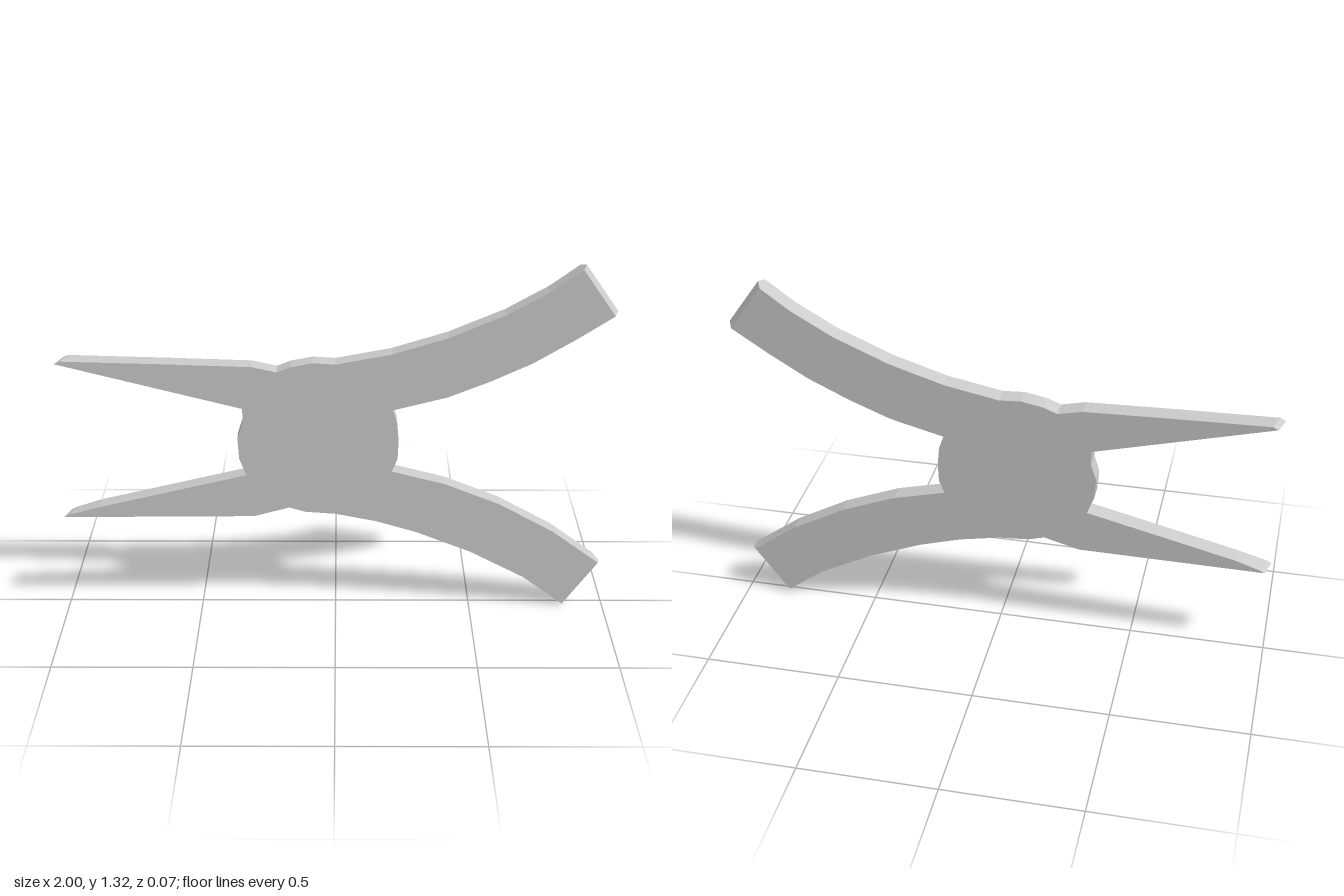
import * as THREE from 'three';

const HALF = 0.035; // half the plate thickness

// Extrudes an outline into a flat plate centred on z = 0, with a mid ring;
// pull(x, z) gives the [dx, dy] shift of tip vertices for bevelled ends.
function plate(name, points, material, pull) {
  const shape = new THREE.Shape(points.map(([x, y]) => new THREE.Vector2(x, y)));
  const geo = new THREE.ExtrudeGeometry(shape, { depth: HALF * 2, steps: 2, bevelEnabled: false });
  geo.translate(0, 0, -HALF);
  if (pull) {
    const p = geo.attributes.position;
    for (let i = 0; i < p.count; i++) {
      const [dx, dy] = pull(p.getX(i), p.getZ(i));
      p.setXY(i, p.getX(i) + dx, p.getY(i) + dy);
    }
    geo.computeVertexNormals();
  }
  const mesh = new THREE.Mesh(geo, material);
  mesh.name = name;
  return mesh;
}

// Handle ends come to a ridge at mid thickness
const handleEnd = (dirX, dirY, front, back) => (x, z) => {
  if (x < 0.853 || Math.abs(z) < 0.01) return [0, 0];
  const d = z > 0 ? front : back;
  return [-dirX * d, -dirY * d];
};

// Jaw tips slant back towards the rear face
const jawTip = (x, z) => (x < -0.95 ? [0.02 * (HALF - z) / (2 * HALF), 0] : [0, 0]);

export function createModel() {
  const group = new THREE.Group();
  group.name = 'pliers';
  const material = new THREE.MeshStandardMaterial({ color: 0xcccccc, flatShading: true });

  // Central pivot plate
  group.add(plate('pivotBody', [
    [-0.335, 0.795], [-0.335, 0.74], [-0.355, 0.68], [-0.35, 0.6], [-0.325, 0.535],
    [-0.17, 0.405], [-0.11, 0.388], [0, 0.38],
    [0.205, 0.55], [0.225, 0.6], [0.228, 0.67], [0.222, 0.74], [0.205, 0.79],
    [0, 0.965], [-0.08, 0.97], [-0.16, 0.955], [-0.21, 0.935],
  ], material));

  // Tapered jaws
  group.add(plate('upperJaw', [
    [-0.335, 0.795], [-0.21, 0.935], [-0.3, 0.955], [-0.6, 0.965], [-0.98, 0.975], [-1, 0.965],
  ], material, jawTip));
  group.add(plate('lowerJaw', [
    [-0.17, 0.405], [-0.325, 0.535], [-0.87, 0.405], [-0.98, 0.375], [-1, 0.365], [-0.3, 0.37],
  ], material, jawTip));

  // Curved handles
  group.add(plate('upperHandle', [
    [0.205, 0.79], [0.4, 0.84], [0.55, 0.9], [0.7, 0.97], [0.85, 1.06],
    [0.995, 1.155], [0.875, 1.325],
    [0.75, 1.235], [0.6, 1.15], [0.4, 1.065], [0.2, 1.003], [0, 0.965],
  ], material, handleEnd(0.82, 0.57, 0.016, 0.02)));
  group.add(plate('lowerHandle', [
    [0, 0.38], [0.15, 0.35], [0.3, 0.305], [0.5, 0.225], [0.7, 0.12],
    [0.857, 0.003], [0.983, 0.175],
    [0.8, 0.31], [0.6, 0.42], [0.4, 0.5], [0.205, 0.55],
  ], material, handleEnd(0.8, -0.6, 0.008, 0.025)));

  return group;
}
